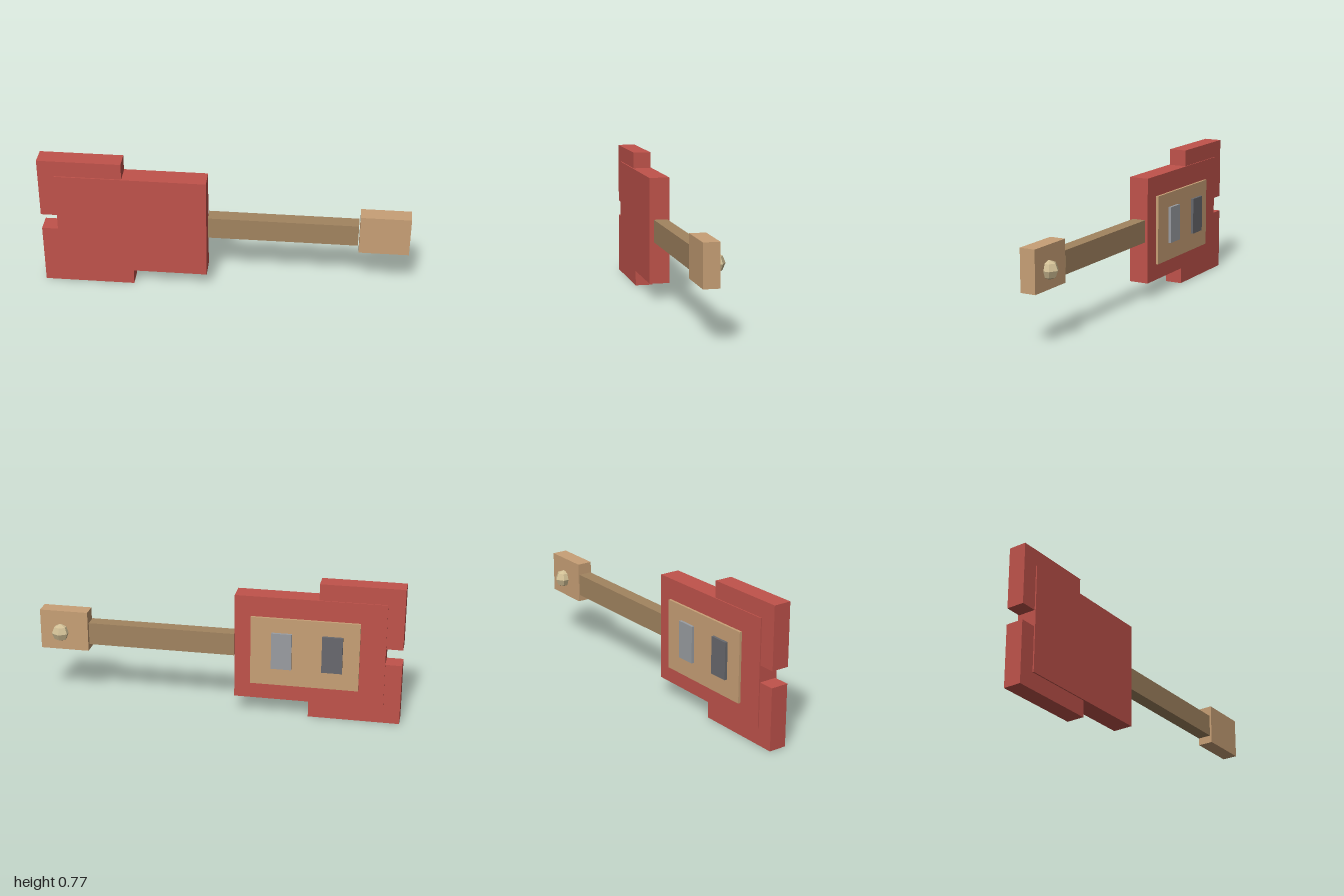
import * as THREE from 'three';

const material = (name, color) => {
  const m = new THREE.MeshStandardMaterial({ color });
  m.name = name;
  return m;
};

export function createModel() {
  const red = material('red', 0xc0534b);
  const tan = material('tan', 0xc8a076);
  const brown = material('brown', 0xa28460);
  const brass = material('pale brass', 0xd2c096);
  const lightGrey = material('light grey', 0x9a9da2);
  const darkGrey = material('dark grey', 0x68696e);

  const model = new THREE.Group();
  model.name = 'blockGuitar';

  // Box given by its extents along each axis
  const block = (name, mat, [x0, x1], [y0, y1], [z0, z1]) => {
    const mesh = new THREE.Mesh(new THREE.BoxGeometry(x1 - x0, y1 - y0, z1 - z0), mat);
    mesh.position.set((x0 + x1) / 2, (y0 + y1) / 2, (z0 + z1) / 2);
    mesh.name = name;
    model.add(mesh);
  };

  // Body: a main slab with two slightly thinner blocks at the far end
  block('body', red, [-0.91, -0.095], [0.092, 0.682], [-0.031, 0.081]);
  block('upperBodyBlock', red, [-1, -0.548], [0.432, 0.773], [-0.025, 0.074]);
  block('lowerBodyBlock', red, [-1, -0.503], [0, 0.342], [-0.025, 0.074]);

  // Neck and head
  block('neck', brown, [-0.089, 0.724], [0.326, 0.451], [-0.018, 0.058]);
  block('head', tan, [0.73, 1], [0.286, 0.512], [-0.021, 0.065]);

  // Plate and pickups on the back face
  block('plate', tan, [-0.773, -0.185], [0.184, 0.57], [-0.048, -0.034]);
  block('innerPickup', lightGrey, [-0.41, -0.3], [0.285, 0.49], [-0.066, -0.051]);
  block('outerPickup', darkGrey, [-0.684, -0.573], [0.285, 0.49], [-0.066, -0.051]);

  // Faceted tuning knob, six-sided with a corner pointing backwards
  const knobShape = new THREE.SphereGeometry(0.05, 6, 4).rotateY(Math.PI / 2).toNonIndexed();
  knobShape.computeVertexNormals();
  const knob = new THREE.Mesh(knobShape, brass);
  knob.material.flatShading = true;
  knob.position.set(0.884, 0.388, -0.028);
  knob.name = 'tuningKnob';
  model.add(knob);

  return model;
}
